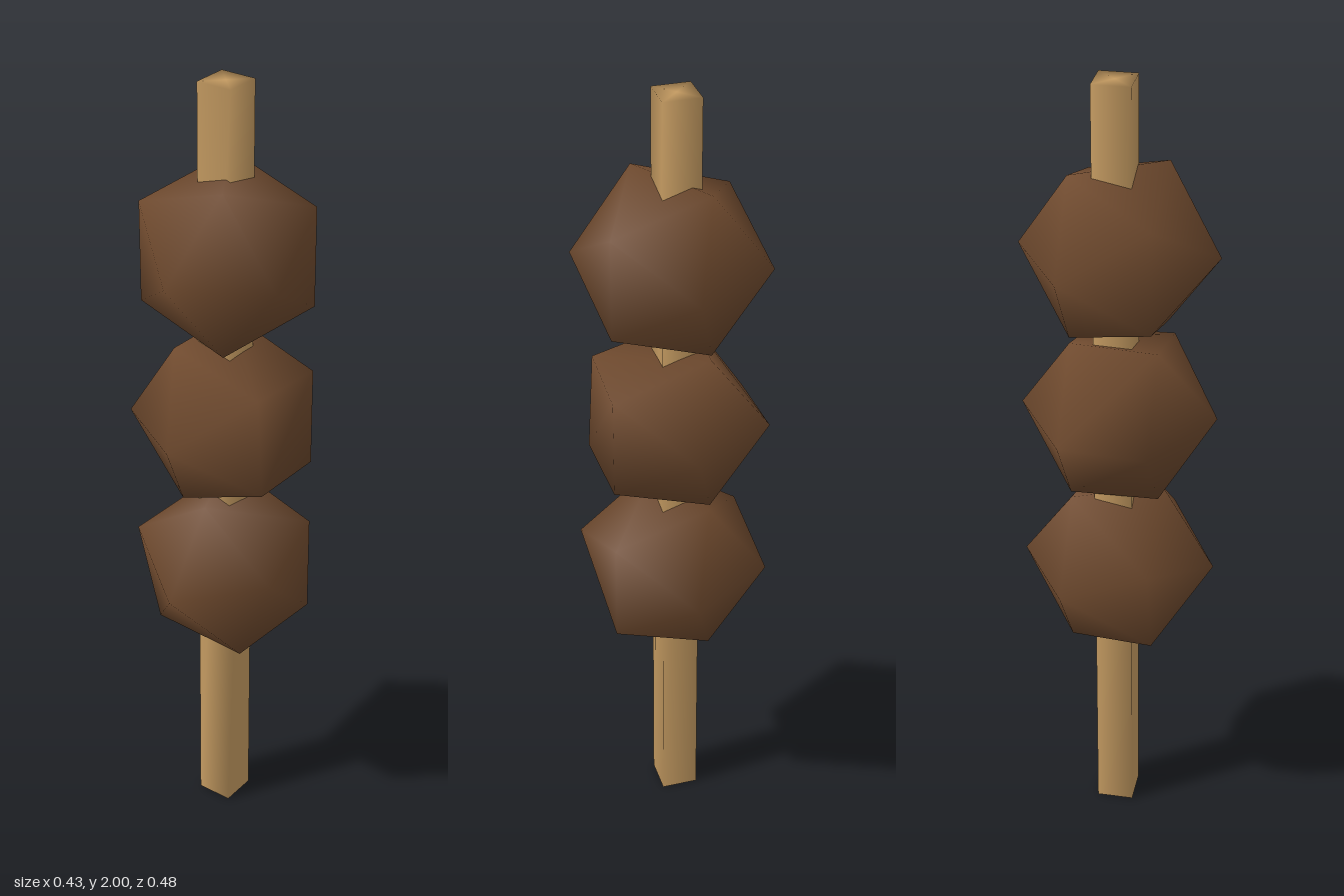
import * as THREE from 'three';
import { mergeVertices } from 'three/addons/utils/BufferGeometryUtils.js';

const RADIUS = 0.24;
const RING_Z = 0.107;
const RING_RADIUS = 0.2147;

// Ten-sided-ring ball: poles on the z axis and two rings of five, the front one twisted (degrees).
function ballGeometry(twist) {
  const pos = [0, 0, -RADIUS, 0, 0, RADIUS];
  for (const [z, start] of [[-RING_Z, 36], [RING_Z, 36 + twist]]) {
    for (let i = 0; i < 5; i++) {
      const a = THREE.MathUtils.degToRad(start + i * 72);
      pos.push(RING_RADIUS * Math.cos(a), RING_RADIUS * Math.sin(a), z);
    }
  }
  const index = [];
  for (let i = 0; i < 5; i++) {
    const j = (i + 1) % 5;
    const b0 = 2 + i, b1 = 2 + j, f0 = 7 + i, f1 = 7 + j;
    index.push(0, b1, b0, 1, f0, f1); // end fans
    index.push(b0, b1, f0, b1, f1, f0); // band along the shorter diagonal
  }
  const g = new THREE.BufferGeometry();
  g.setAttribute('position', new THREE.Float32BufferAttribute(pos, 3));
  g.setIndex(index);
  g.computeVertexNormals();
  return g;
}

// Square stick with softly shaded corners, leaning back very slightly.
function stickGeometry() {
  let g = new THREE.CylinderGeometry(0.0655, 0.0655, 2, 4);
  g.rotateY(Math.PI / 4);
  g.deleteAttribute('normal');
  g.deleteAttribute('uv');
  g = mergeVertices(g, 1e-4);
  const p = g.attributes.position;
  for (let i = 0; i < p.count; i++) {
    p.setZ(i, p.getZ(i) - (p.getY(i) > 0 ? 0.008 : 0));
  }
  g.computeVertexNormals();
  return g;
}

export function createModel() {
  const wood = new THREE.MeshStandardMaterial({ color: 0xc69c62 });
  wood.name = 'paleWood';
  const brown = new THREE.MeshStandardMaterial({ color: 0x6f4a2e });
  brown.name = 'roastedBrown';

  const model = new THREE.Group();
  model.name = 'skewer';

  const stick = new THREE.Mesh(stickGeometry(), wood);
  stick.name = 'stick';
  stick.position.set(-0.01, 1, 0);
  model.add(stick);

  // Three balls threaded on the stick, each twisted differently
  const balls = [
    ['lowerBall', 0.735, 51],
    ['middleBall', 1.16, 3],
    ['upperBall', 1.583, 36],
  ];
  for (const [name, y, twist] of balls) {
    const ball = new THREE.Mesh(ballGeometry(twist), brown);
    ball.name = name;
    ball.position.y = y;
    model.add(ball);
  }
  return model;
}
